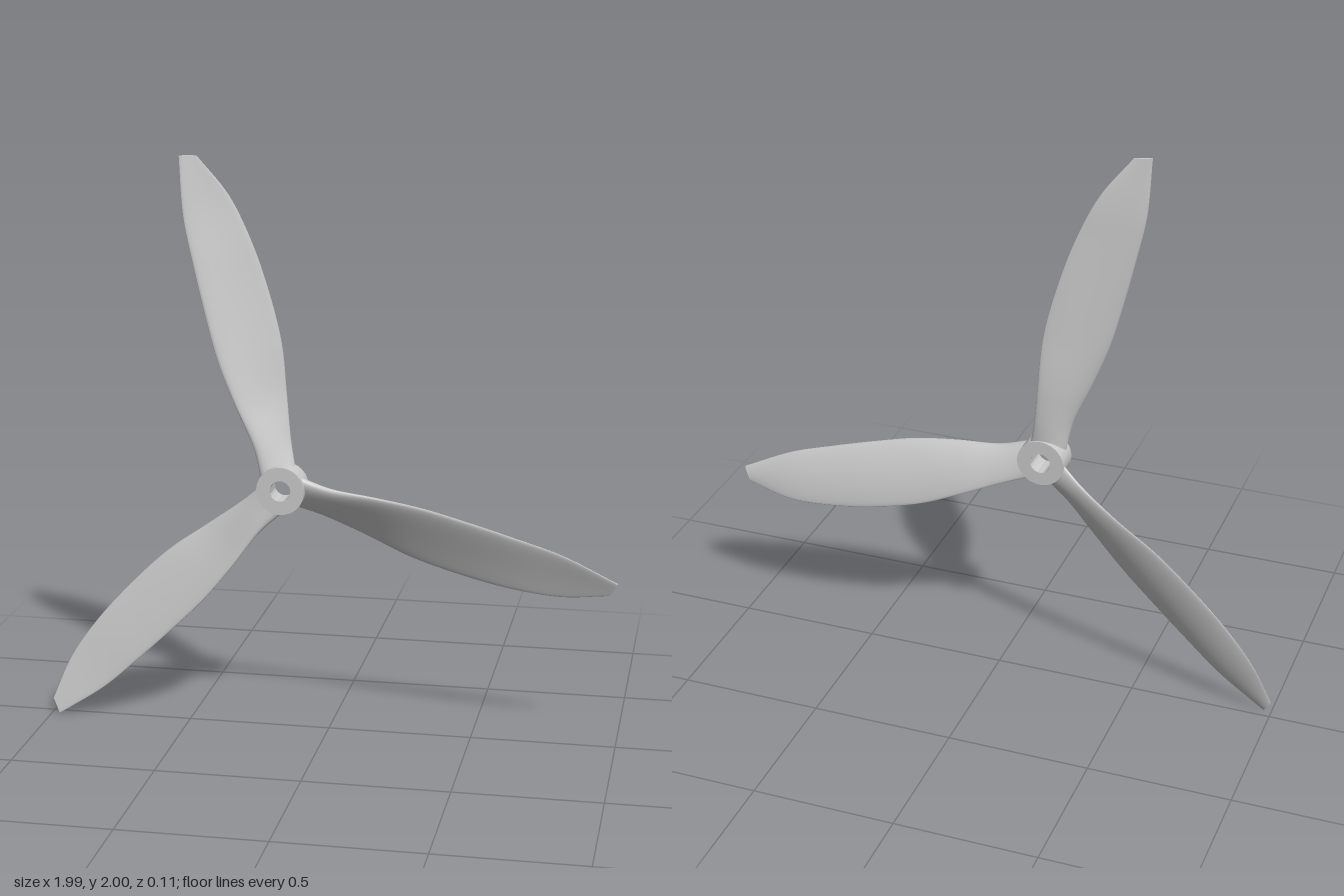
import * as THREE from 'three';
import { toCreasedNormals } from 'three/addons/utils/BufferGeometryUtils.js';

const material = new THREE.MeshStandardMaterial({ color: 0xcccccc });
const curve = (pts) => new THREE.CatmullRomCurve3(pts.map((p) => new THREE.Vector3(...p)));

// Blade edges from root to tip, relative to the hub centre
const leadingEdge = curve([
  [0.055, 0.05, 0.025], [0.169, 0.012, 0.03], [0.329, -0.009, 0.042], [0.489, -0.036, 0.048],
  [0.65, -0.079, 0.047], [0.81, -0.127, 0.044], [0.97, -0.18, 0.04], [1.155, -0.27, 0.032],
]);
const trailingEdge = curve([
  [0.045, -0.07, -0.02], [0.13, -0.1, -0.035], [0.275, -0.164, -0.05], [0.435, -0.237, -0.05],
  [0.62, -0.292, -0.042], [0.79, -0.327, -0.03], [0.96, -0.341, -0.015], [1.126, -0.319, 0.014],
]);
const thickness = [0.05, 0.045, 0.035, 0.03, 0.026, 0.022, 0.016, 0.008];

// Twisted blade lofted from cambered aerofoil sections
function bladeGeometry(stations = 48, sides = 28) {
  const pos = [];
  const index = [];
  for (let i = 0; i <= stations; i++) {
    const t = i / stations;
    const lead = leadingEdge.getPoint(t);
    const trail = trailingEdge.getPoint(t);
    const k = Math.min(Math.floor(t * 7), 6);
    const thick = THREE.MathUtils.lerp(thickness[k], thickness[k + 1], t * 7 - k);
    const camber = 0.035 * lead.distanceTo(trail) * Math.min(1, t * 4);
    for (let j = 0; j < sides; j++) {
      const a = (j / sides) * Math.PI * 2;
      const s = (1 - Math.cos(a)) / 2;
      const p = lead.clone().lerp(trail, s);
      p.z += (thick / 2) * Math.sin(a) * (1 + 0.35 * Math.cos(a)) - camber * 4 * s * (1 - s);
      pos.push(p.x, p.y, p.z);
    }
  }
  for (let i = 0; i < stations; i++) {
    for (let j = 0; j < sides; j++) {
      const a = i * sides + j;
      const b = i * sides + ((j + 1) % sides);
      index.push(a, b, b + sides, a, b + sides, a + sides);
    }
  }
  // Flat cap at the tip, with its own vertices
  const rim = stations * sides;
  const cap = pos.length / 3;
  pos.push(...pos.slice(rim * 3));
  for (let j = 1; j < sides - 1; j++) index.push(cap, cap + j, cap + j + 1);

  const geo = new THREE.BufferGeometry();
  geo.setAttribute('position', new THREE.Float32BufferAttribute(pos, 3));
  geo.setIndex(index);
  geo.computeVertexNormals();
  return geo;
}

// Ring-shaped hub with a shaft bore
function hubGeometry() {
  const shape = new THREE.Shape().absarc(0, 0, 0.083, 0, Math.PI * 2, false);
  shape.holes.push(new THREE.Path().absarc(0, 0, 0.036, 0, Math.PI * 2, true));
  const geo = new THREE.ExtrudeGeometry(shape, { depth: 0.088, bevelEnabled: false, curveSegments: 48 });
  geo.translate(0, 0, -0.035);
  return toCreasedNormals(geo, 0.6);
}

export function createModel() {
  const model = new THREE.Group();
  model.name = 'propeller';

  const rotor = new THREE.Group();
  rotor.name = 'rotor';
  rotor.position.set(-0.16, 0.865, 0);
  model.add(rotor);

  const hub = new THREE.Mesh(hubGeometry(), material);
  hub.name = 'hub';
  rotor.add(hub);

  const geo = bladeGeometry();
  for (let i = 0; i < 3; i++) {
    const blade = new THREE.Mesh(geo, material);
    blade.name = `blade${i + 1}`;
    blade.rotation.z = (i * Math.PI * 2) / 3;
    rotor.add(blade);
  }
  return model;
}
